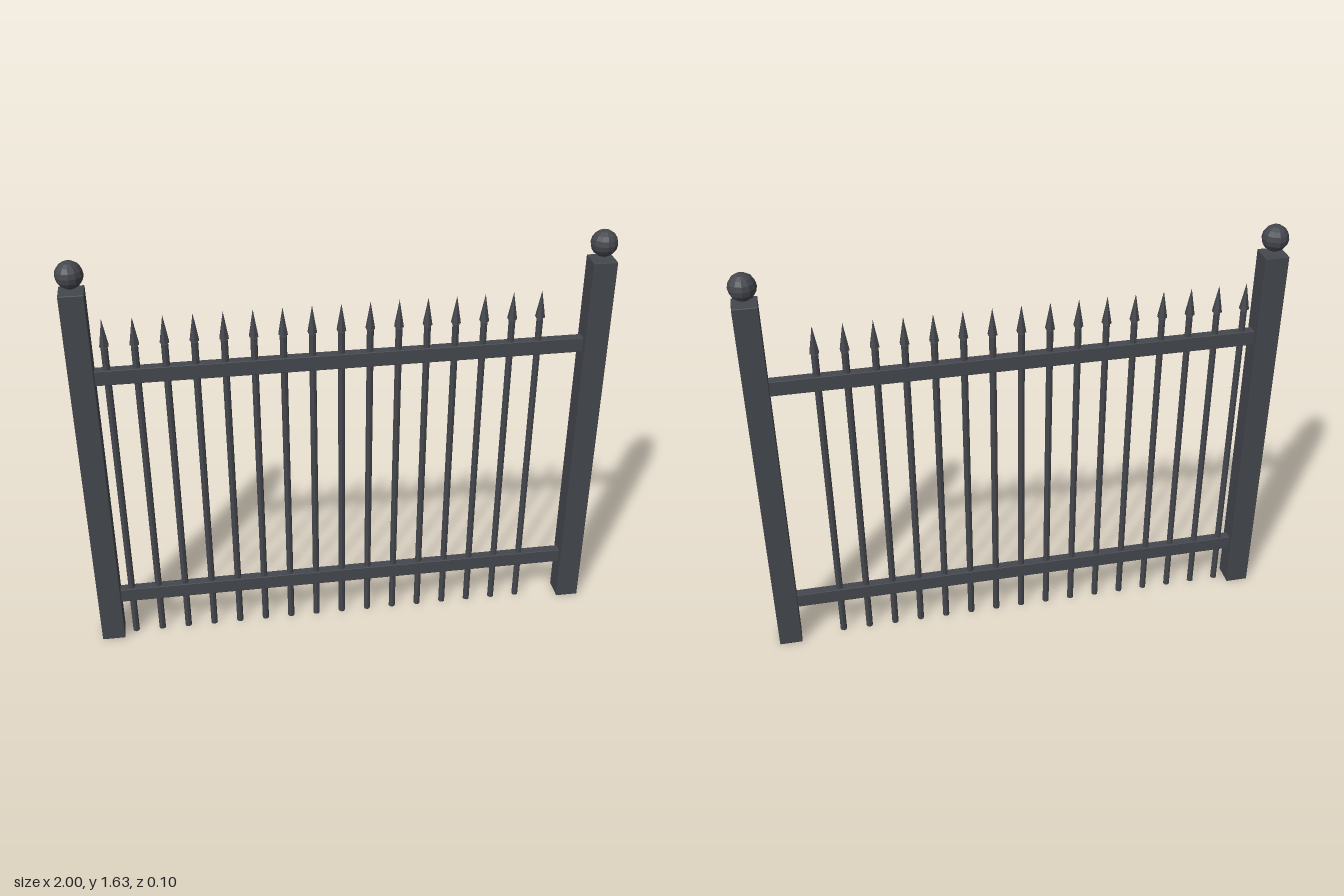
import * as THREE from 'three';
import { RoundedBoxGeometry } from 'three/addons/geometries/RoundedBoxGeometry.js';

export function createModel() {
  const fence = new THREE.Group();
  fence.name = 'fence';
  const iron = new THREE.MeshStandardMaterial({ color: 0x44474d });
  const facetedIron = new THREE.MeshStandardMaterial({ color: 0x44474d, flatShading: true });

  const add = (name, geometry, material, x, y) => {
    const mesh = new THREE.Mesh(geometry, material);
    mesh.name = name;
    mesh.position.set(x, y, 0);
    fence.add(mesh);
  };

  // End posts with ball finials floating just above them
  const postHeight = 1.52;
  const postGeometry = new RoundedBoxGeometry(0.09, postHeight, 0.09, 1, 0.003);
  const ballGeometry = new THREE.SphereGeometry(0.05, 12, 8);
  for (const [side, x] of [['left', 0.95], ['right', -0.95]]) {
    add(side + 'Post', postGeometry, iron, x, postHeight / 2);
    add(side + 'BallFinial', ballGeometry, facetedIron, x, 1.58);
  }

  // Horizontal rails between the posts
  const railGeometry = new RoundedBoxGeometry(1.82, 0.058, 0.036, 1, 0.002);
  add('lowerRail', railGeometry, iron, 0, 0.192);
  add('upperRail', railGeometry, iron, 0, 1.18);

  // Evenly spaced pickets with spear points, starting close to the right post
  const picketCount = 16;
  const picketHeight = 1.294;
  const spearHeight = 0.106;
  const picketGeometry = new THREE.CylinderGeometry(0.013, 0.013, picketHeight, 8);
  const spearGeometry = new THREE.ConeGeometry(0.019, spearHeight, 6);
  for (let i = 0; i < picketCount; i++) {
    const x = -0.86 + i * 0.1063;
    add('picket', picketGeometry, facetedIron, x, picketHeight / 2);
    add('spearPoint', spearGeometry, facetedIron, x, 1.301 + spearHeight / 2);
  }
  return fence;
}
